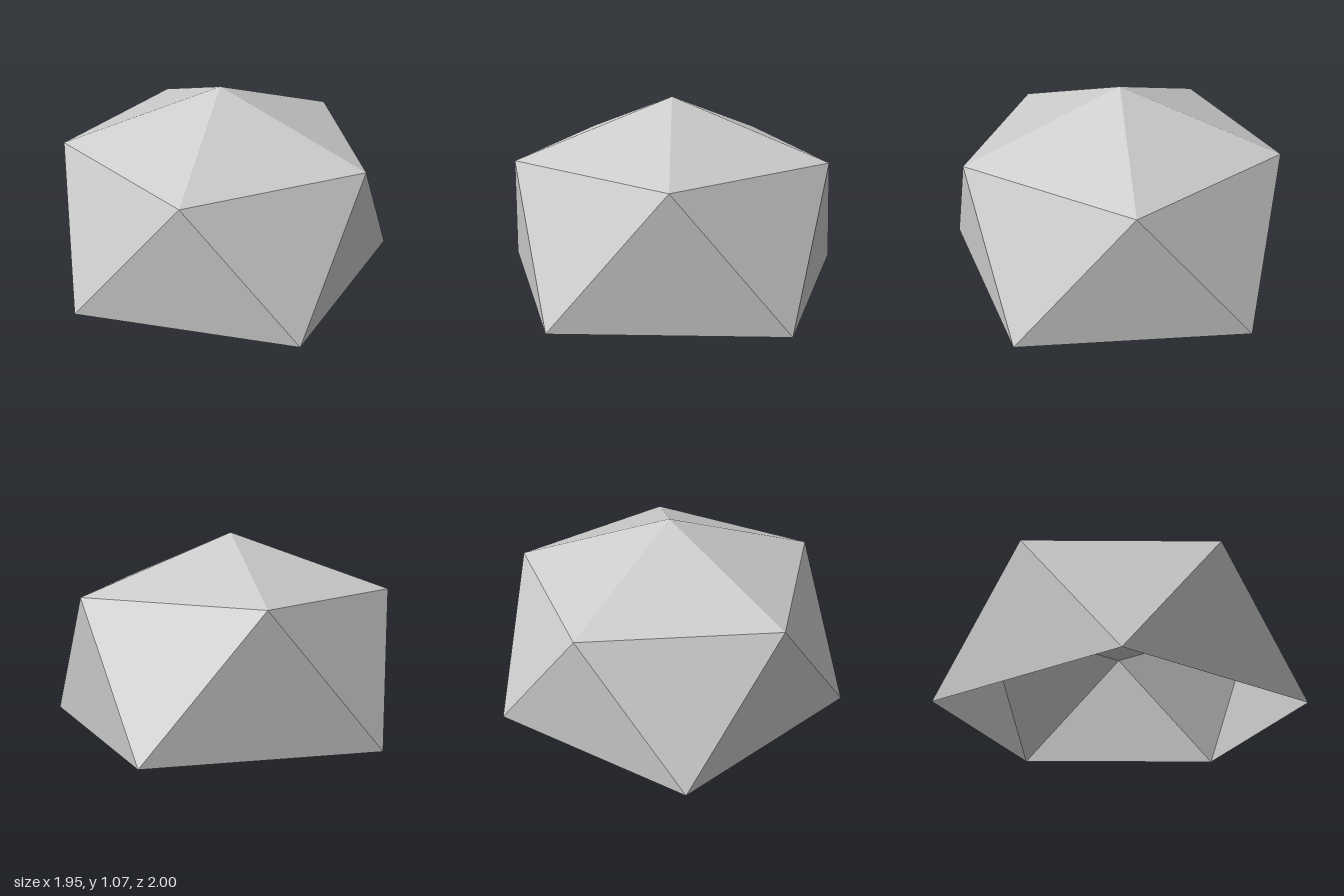
import * as THREE from 'three';

const SIDES = 5;
const CENTRE_X = 0.075;

// Regular ring of corners, turned by a fraction of one side
function ring(radius, y, turn) {
  return Array.from({ length: SIDES }, (_, i) => {
    const a = ((i + turn) / SIDES) * Math.PI * 2;
    return new THREE.Vector3(CENTRE_X + radius * Math.cos(a), y, radius * Math.sin(a));
  });
}

function facetedMesh(name, points, material) {
  const geometry = new THREE.BufferGeometry().setFromPoints(points);
  geometry.computeVertexNormals();
  const mesh = new THREE.Mesh(geometry, material);
  mesh.name = name;
  return mesh;
}

export function createModel() {
  const model = new THREE.Group();
  model.name = 'dome';

  const shell = new THREE.MeshStandardMaterial({ color: 0xcccccc, side: THREE.DoubleSide, flatShading: true });
  shell.name = 'light grey';

  const apex = new THREE.Vector3(CENTRE_X, 1.065, 0);
  const upper = ring(0.898, 0.752, 0);
  const lower = ring(1.05, 0, 0.5);

  const roof = [];
  const wall = [];
  for (let i = 0; i < SIDES; i++) {
    const j = (i + 1) % SIDES;
    roof.push(apex, upper[j], upper[i]);
    // One triangle pointing down, one pointing up
    wall.push(upper[j], lower[i], upper[i]);
    wall.push(upper[j], lower[j], lower[i]);
  }

  // Shallow roof over a triangulated wall, open underneath
  model.add(facetedMesh('roof', roof, shell));
  model.add(facetedMesh('wall', wall, shell));
  return model;
}
